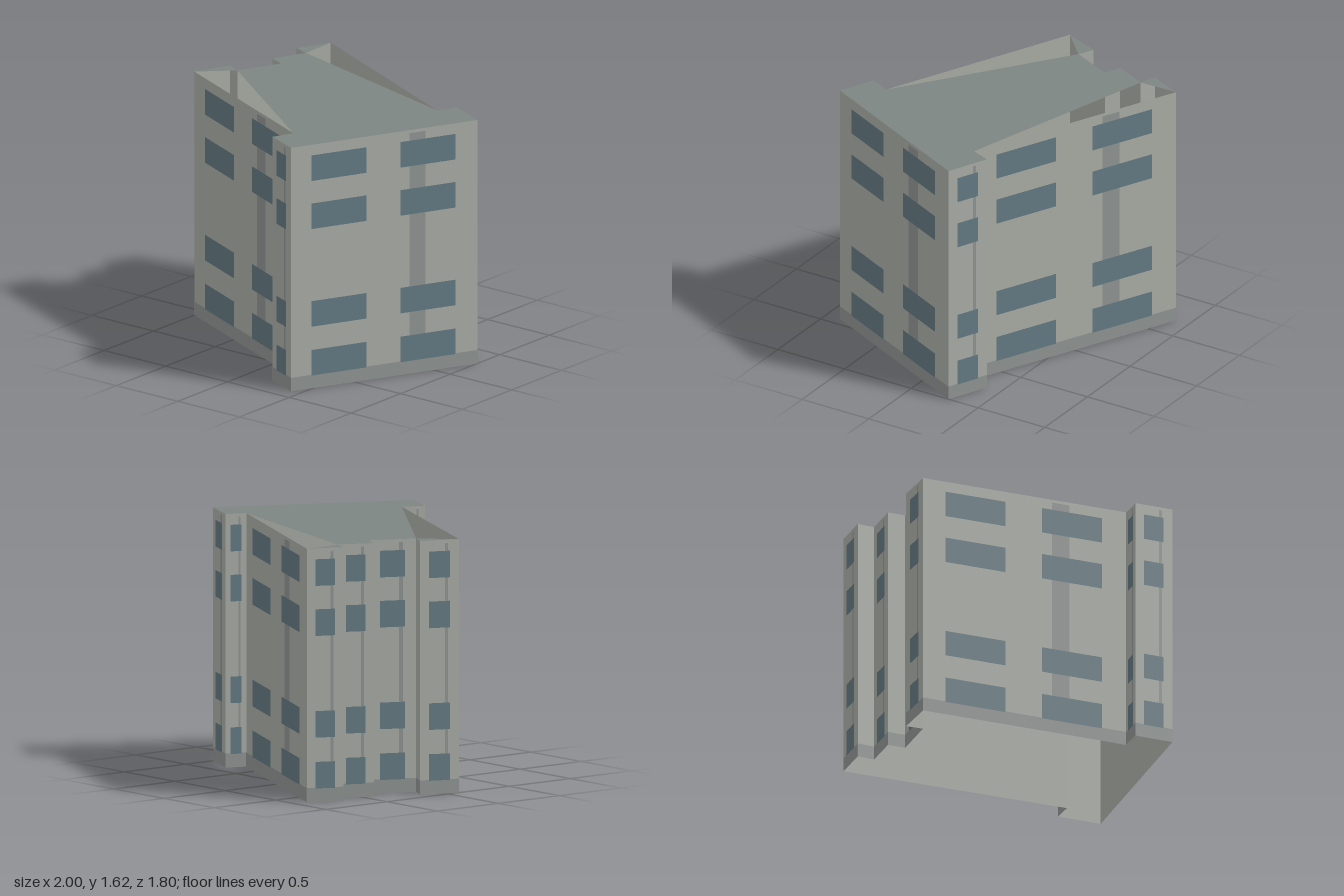
import * as THREE from 'three';

const HEIGHT = 1.62;
const BASE = 0.09;

// Footprint corners (x, z), walked left to right as seen from outside
const FOOTPRINT = [
  [-1, 0.09], [0.26, 0.658], [0.2, 0.797], [0.432, 0.897], [1, -0.278],
  [0.733, -0.395], [0.682, -0.267], [-0.693, -0.902], [-0.792, -0.682],
  [-0.685, -0.643], [-0.783, -0.426], [-0.675, -0.38], [-0.804, -0.1], [-0.905, -0.15],
];
// Roof pieces as footprint corner indices; two slivers beside the long walls stay open
const ROOF = [[9, 6, 5, 4, 3, 2, 1, 12, 11, 10], [0, 13, 12], [7, 9, 8]];
// Bottom and top of each window row
const ROWS = [[0.085, 0.255], [0.41, 0.58], [1.06, 1.23], [1.38, 1.55]];

const paint = (color, side = THREE.FrontSide) =>
  new THREE.MeshStandardMaterial({ color, side, roughness: 0.9 });

export function createModel() {
  const model = new THREE.Group();
  model.name = 'building';
  const wallMat = paint(0xa9aca5, THREE.DoubleSide);
  const roofMat = paint(0x7d8582, THREE.DoubleSide);
  const trimMat = paint(0x8f9492);
  const glassMat = paint(0x647a83);

  // Flat rectangle on a wall, spanning u0..u1 along it and y0..y1 upward
  function panel(parent, name, material, u0, u1, y0, y1, offset) {
    const mesh = new THREE.Mesh(new THREE.PlaneGeometry(u1 - u0, y1 - y0), material);
    mesh.position.set((u0 + u1) / 2, (y0 + y1) / 2, offset);
    mesh.name = name;
    parent.add(mesh);
  }

  FOOTPRINT.forEach(([ax, az], i) => {
    const [bx, bz] = FOOTPRINT[(i + 1) % FOOTPRINT.length];
    const length = Math.hypot(bx - ax, bz - az);
    const facade = new THREE.Group();
    facade.name = 'facade';
    facade.position.set(ax, 0, az);
    facade.rotation.y = Math.atan2(az - bz, bx - ax);
    model.add(facade);

    panel(facade, 'wall', wallMat, 0, length, 0, HEIGHT, 0);
    panel(facade, 'plinth', trimMat, 0, length, 0, BASE, 0.001);
    if (length < 0.125) return; // the shortest returns are blank

    // Downpipe strip behind the windows
    panel(facade, 'strip', trimMat, 0.635 * length, 0.72 * length, BASE, 1.6, 0.001);

    // Two windows per floor on long walls, one on short walls
    const columns = length > 0.8 ? [[0.11, 0.405], [0.585, 0.88]] : [[0.23, 0.76]];
    for (const [u0, u1] of columns) {
      for (const [y0, y1] of ROWS) {
        panel(facade, 'window', glassMat, u0 * length, u1 * length, y0, y1, 0.002);
      }
    }
  });

  // Flat roof
  for (const corners of ROOF) {
    const shape = new THREE.Shape(
      corners.map((c) => new THREE.Vector2(FOOTPRINT[c][0], -FOOTPRINT[c][1])));
    const roof = new THREE.Mesh(new THREE.ShapeGeometry(shape), roofMat);
    roof.rotation.x = -Math.PI / 2;
    roof.position.y = HEIGHT;
    roof.name = 'roof';
    model.add(roof);
  }
  return model;
}
